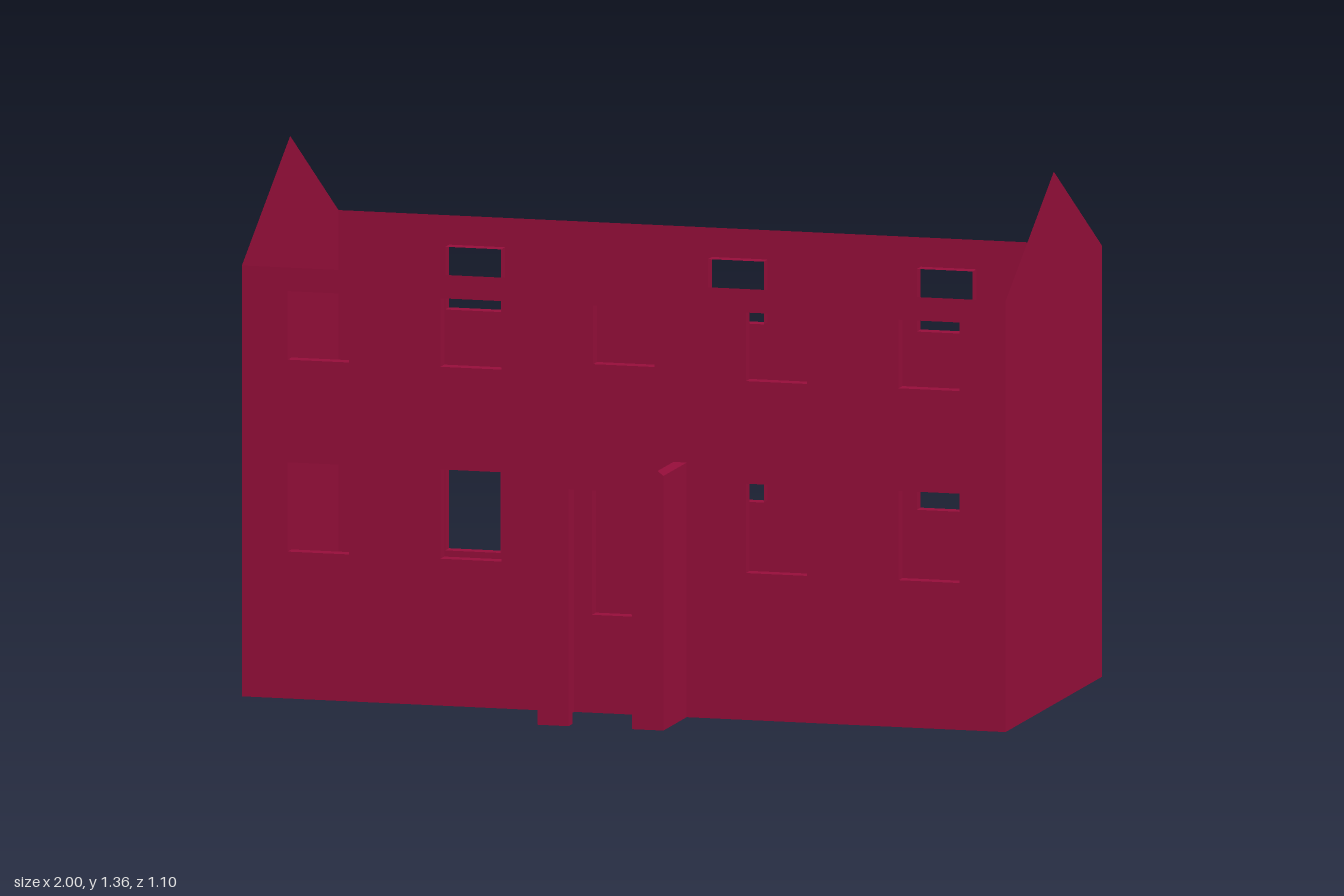
import * as THREE from 'three';

const brick = new THREE.MeshStandardMaterial({ color: 0x960e3a, side: THREE.DoubleSide });
brick.name = 'crimson';

const EAVES = 1.1, RIDGE = 1.36, FRONT = 0.335, BACK = -0.55, REVEAL = 0.035;

function add(parent, name, geometry, x = 0, y = 0, z = 0) {
  const mesh = new THREE.Mesh(geometry, brick);
  mesh.name = name;
  mesh.position.set(x, y, z);
  parent.add(mesh);
  return mesh;
}

function polygon(points) {
  return new THREE.Shape(points.map(([x, y]) => new THREE.Vector2(x, y)));
}

function rectangle(x0, x1, y0, y1) {
  return [[x0, y0], [x1, y0], [x1, y1], [x0, y1]];
}

// Four thin sides lining an opening, centred on the origin
function addReveal(parent, name, [x0, x1, y0, y1], zMid) {
  const group = new THREE.Group();
  group.name = name;
  group.position.set((x0 + x1) / 2, (y0 + y1) / 2, zMid);
  const w = x1 - x0, h = y1 - y0;
  for (const s of [-1, 1]) {
    const flat = new THREE.PlaneGeometry(w, REVEAL).rotateX(s * Math.PI / 2);
    add(group, s < 0 ? 'sill' : 'head', flat, 0, s * h / 2, 0);
    const jamb = new THREE.PlaneGeometry(REVEAL, h).rotateY(-s * Math.PI / 2);
    add(group, 'jamb', jamb, s * w / 2, 0, 0);
  }
  parent.add(group);
}

// Sheet wall with openings, each lined towards the inside of the house
function addLongWall(parent, name, z, openings, inward) {
  const wall = new THREE.Group();
  wall.name = name;
  const shape = polygon(rectangle(-1, 1, 0, EAVES));
  for (const o of openings) {
    shape.holes.push(polygon(rectangle(...o).reverse()));
    addReveal(wall, 'openingReveal', o, z + inward * REVEAL / 2);
  }
  const sheet = new THREE.ShapeGeometry(shape);
  // Turn the back sheet outwards without mirroring its openings
  if (inward > 0) {
    const index = sheet.index;
    for (let i = 0; i < index.count; i += 3) {
      const a = index.getX(i);
      index.setX(i, index.getX(i + 2));
      index.setX(i + 2, a);
    }
    sheet.computeVertexNormals();
  }
  add(wall, name + 'Sheet', sheet, 0, 0, z);
  parent.add(wall);
}

export function createModel() {
  const house = new THREE.Group();
  house.name = 'house';

  // Front: two rows of windows around a central doorway
  const front = [[-0.083, 0.083, 0.25, 0.605], [-0.08, 0.08, 0.89, 1.04]];
  for (const x of [-0.8, -0.4, 0.4, 0.8]) {
    front.push([x - 0.08, x + 0.08, 0.375, 0.603], [x - 0.08, x + 0.08, 0.865, 1.04]);
  }
  addLongWall(house, 'frontWall', FRONT, front, -1);

  // Back: three columns, the one at -x having a taller doorway
  const back = [[-0.71, -0.565, 0.25, 0.57]];
  for (const x of [-0.71, -0.022, 0.525]) {
    back.push([x, x + 0.146, 0.865, 1.025]);
    if (x > -0.5) back.push([x, x + 0.146, 0.41, 0.592]);
  }
  addLongWall(house, 'backWall', BACK, back, 1);

  // Gable ends
  const gable = polygon([
    [-FRONT, 0], [-BACK, 0], [-BACK, EAVES], [-(FRONT + BACK) / 2, RIDGE], [-FRONT, EAVES],
  ]);
  for (const s of [-1, 1]) {
    const geometry = new THREE.ShapeGeometry(gable).rotateY(Math.PI / 2);
    if (s < 0) geometry.scale(-1, 1, 1), flip(geometry);
    add(house, s < 0 ? 'rightGable' : 'leftGable', geometry, s, 0, 0);
  }

  // Porch: thick front arch, side walls and a thin pediment
  const porch = new THREE.Group();
  porch.name = 'porch';
  const arch = polygon([
    [-0.165, 0], [-0.083, 0], [-0.083, 0.605], [0.083, 0.605],
    [0.083, 0], [0.165, 0], [0.165, 0.65], [-0.165, 0.65],
  ]);
  add(porch, 'porchFront', new THREE.ExtrudeGeometry(arch, { depth: 0.037, bevelEnabled: false }), 0, 0, 0.513);
  const pediment = polygon([[-0.165, 0.65], [0.165, 0.65], [0, 0.787]]);
  add(porch, 'pediment', new THREE.ShapeGeometry(pediment), 0, 0, 0.55);
  for (const s of [-1, 1]) {
    const side = new THREE.BoxGeometry(0.035, 0.65, 0.513 - FRONT);
    add(porch, 'porchSide', side, s * 0.1475, 0.325, (0.513 + FRONT) / 2);
  }
  house.add(porch);
  return house;
}

// Reverse the face order and refresh the normals
function flip(geometry) {
  geometry.index.array.reverse();
  geometry.computeVertexNormals();
}
